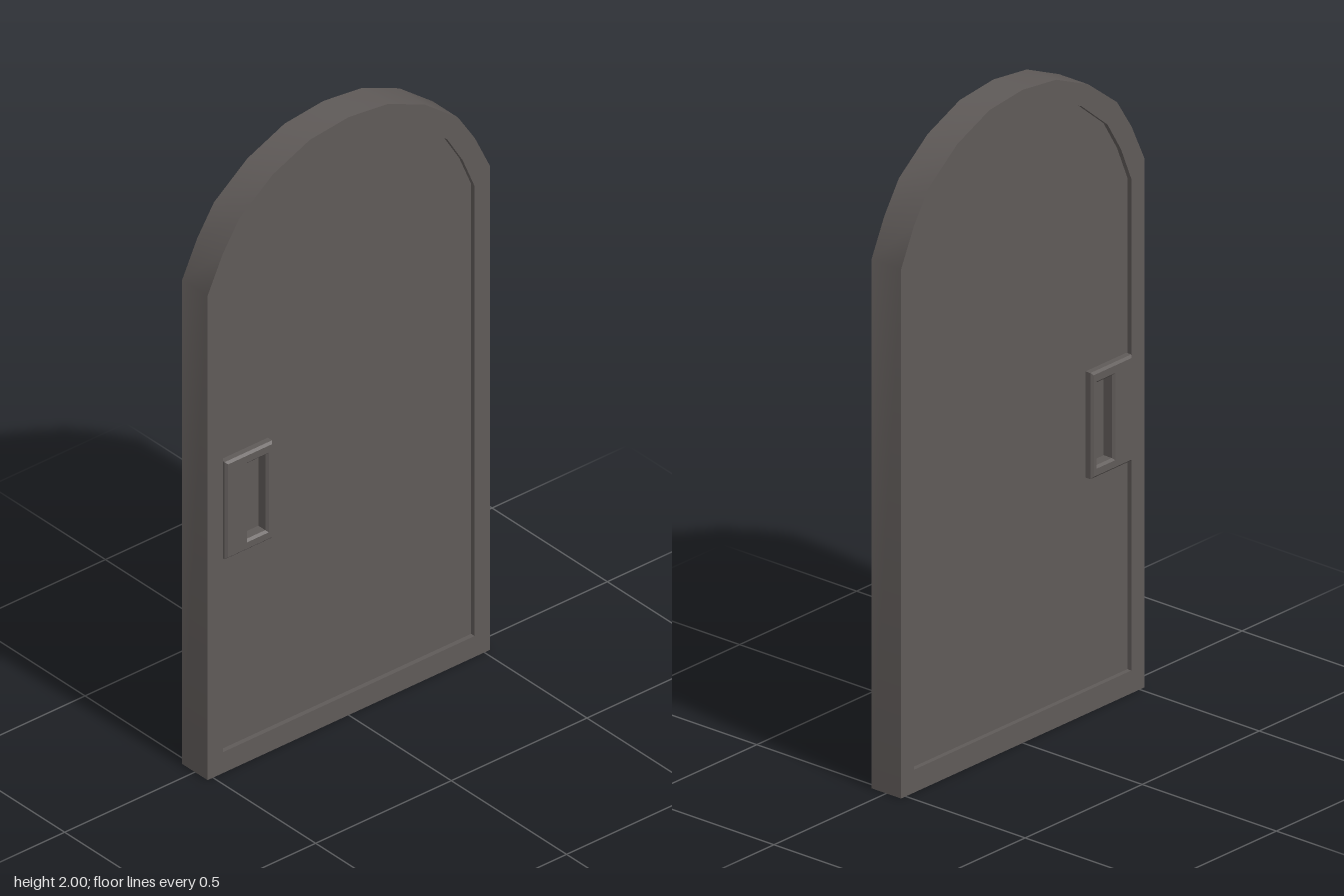
import * as THREE from 'three';
import { toCreasedNormals } from 'three/addons/utils/BufferGeometryUtils.js';

// Half arches as [z, y], from the spring line up to the crown
const OUTER = [[0.52, 1.62], [0.465, 1.735], [0.403, 1.83], [0.28, 1.925], [0.143, 1.984], [0, 2]];
const INNER = [[0.464, 1.575], [0.42, 1.68], [0.362, 1.775], [0.25, 1.868], [0.128, 1.924], [0, 1.94]];

// Closed arched outline standing on the given bottom height
function archPoints(half, bottom) {
  const w = half[0][0];
  const left = half.slice(0, -1).reverse().map(([z, y]) => [-z, y]);
  return [[-w, bottom], [w, bottom], ...half, ...left].map(([z, y]) => new THREE.Vector2(z, y));
}

function rectPoints(z0, z1, y0, y1) {
  return [[z0, y0], [z1, y0], [z1, y1], [z0, y1]].map(([z, y]) => new THREE.Vector2(z, y));
}

// Extrudes a z-y outline across x, centred on x = 0
function slab(points, hole, halfWidth, bevel = 0) {
  const shape = new THREE.Shape(points);
  if (hole) shape.holes.push(new THREE.Path(hole));
  const depth = 2 * (halfWidth - bevel);
  const geo = new THREE.ExtrudeGeometry(shape, {
    depth, bevelEnabled: bevel > 0, bevelThickness: bevel, bevelSize: bevel,
    bevelOffset: -bevel, bevelSegments: 1,
  });
  geo.translate(0, 0, -depth / 2);
  geo.rotateY(-Math.PI / 2);
  return toCreasedNormals(geo, 0.52);
}

export function createModel() {
  const model = new THREE.Group();
  model.name = 'archedDoor';
  const metal = new THREE.MeshStandardMaterial({ color: 0x5f5a58 });
  metal.name = 'dark metal';

  const add = (name, geo) => {
    const mesh = new THREE.Mesh(geo, metal);
    mesh.name = name;
    model.add(mesh);
  };

  const grip = rectPoints(0.31, 0.377, 0.75, 1.003);

  // Raised rim and the sunken panel inside it
  add('doorFrame', slab(archPoints(OUTER, 0), archPoints(INNER, 0.07), 0.055));
  add('doorPanel', slab(archPoints(INNER, 0.07), grip, 0.04));

  // Handle plate on both faces with a sunken finger grip
  add('handlePlate', slab(rectPoints(0.285, 0.46, 0.715, 1.04), grip, 0.065, 0.007));
  add('gripFloor', slab(grip, null, 0.028));

  return model;
}
